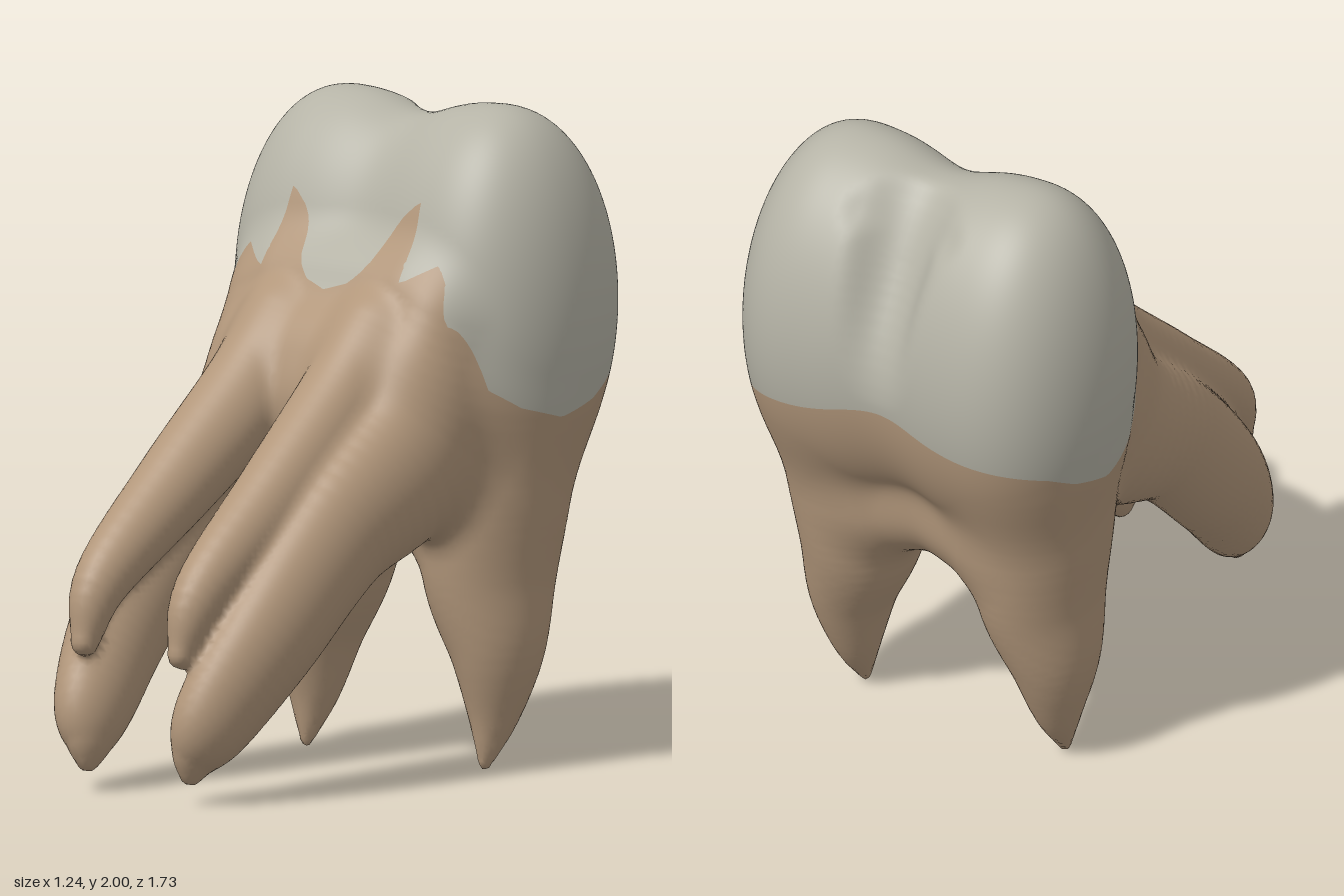
import * as THREE from 'three';

const { clamp, lerp, smoothstep } = THREE.MathUtils;

// Smooth union of two distances
const blend = (a, b, k) => {
  const h = Math.max(k - Math.abs(a - b), 0) / k;
  return Math.min(a, b) - h * h * k * 0.25;
};

// Distance function of a curved, tapered rod; each stop is [x, y, z, radius].
// flat > 1 makes its cross-section narrower in x.
function rod(stops, flat = 1) {
  const path = new THREE.CatmullRomCurve3(stops.map(s => new THREE.Vector3(s[0] * flat, s[1], s[2])), false, 'catmullrom');
  const girth = new THREE.CatmullRomCurve3(stops.map(s => new THREE.Vector3(s[3], 0, 0)), false, 'catmullrom');
  const count = stops.length > 2 ? (stops.length - 1) * 8 : 1;
  const points = path.getPoints(count), radii = girth.getPoints(count).map(p => p.x);
  return (px, y, z) => {
    const x = px * flat;
    let best = Infinity;
    for (let i = 0; i < count; i++) {
      const a = points[i], b = points[i + 1];
      const dx = b.x - a.x, dy = b.y - a.y, dz = b.z - a.z;
      const ax = x - a.x, ay = y - a.y, az = z - a.z;
      const t = clamp((ax * dx + ay * dy + az * dz) / (dx * dx + dy * dy + dz * dz), 0, 1);
      const ex = ax - t * dx, ey = ay - t * dy, ez = az - t * dz;
      best = Math.min(best, Math.sqrt(ex * ex + ey * ey + ez * ez) - radii[i] - (radii[i + 1] - radii[i]) * t);
    }
    return best;
  };
}

// Parts of one half; the other half is mirrored
const trunk = rod([[0, 1.16, -0.19, 0.32], [0.15, 1.16, -0.19, 0.32]]);
const shoulder = rod([[0, 1.4, -0.25, 0.22], [0.25, 1.4, -0.25, 0.22]]);
const frontWeb = rod([[0, 1.12, -0.02, 0.15], [0, 0.99, -0.01, 0.14]]);
const rearWeb = rod([[0, 0.85, -0.43, 0.2], [0.2, 0.81, -0.43, 0.23]]);
const rearRoot = rod([[0.34, 1.1, -0.45, 0.28], [0.33, 0.85, -0.43, 0.26], [0.325, 0.6, -0.415, 0.225],
  [0.365, 0.38, -0.405, 0.162], [0.367, 0.18, -0.388, 0.09], [0.365, 0.022, -0.35, 0.022]], 1.25);
const outerRoot = rod([[0.36, 1.35, -0.2, 0.16], [0.31, 1.01, -0.08, 0.25], [0.315, 0.78, 0.25, 0.2],
  [0.295, 0.5, 0.53, 0.18], [0.25, 0.28, 0.71, 0.147], [0.222, 0.18, 0.765, 0.093], [0.213, 0.105, 0.785, 0.045]], 1.4);
const innerRoot = rod([[0.19, 1.3, -0.08, 0.17], [0.195, 1.135, 0.095, 0.155], [0.205, 0.885, 0.415, 0.13],
  [0.205, 0.64, 0.73, 0.092], [0.2, 0.46, 0.815, 0.045]], 1.15);
const groove = rod([[0, 1.95, -0.7, 0.135], [0, 1.75, -0.78, 0.115], [0, 1.4, -0.92, 0.08]]);
const crossGroove = rod([[0, 1.88, -0.7, 0.06], [0.14, 1.9, -0.72, 0.03]]);

// Signed distance to the whole tooth
function tooth(px, y, z) {
  const x = Math.sqrt(px * px + 0.0012);
  // Crown: a rounded bar across x, pinched in the middle into two lobes
  const ex = Math.max(x - 0.28, 0) / 0.34, ey = (y - 1.4) / 0.6;
  const ez = (z + 0.47) / (z > -0.47 ? 0.35 : 0.39);
  let d = 0.38 * (Math.sqrt(ex ** 2.6 + ey * ey + ez * ez) - 1);
  d += 0.035 * Math.exp(-((px / 0.15) ** 2));
  // Chewing groove
  const cut = blend(groove(x, y, z), crossGroove(x, y, z), 0.05);
  d = -blend(-d, cut, 0.07);
  // Trunk and roots
  let r = blend(trunk(x, y, z), shoulder(x, y, z), 0.05);
  r = blend(r, frontWeb(x, y, z), 0.06);
  r = blend(r, outerRoot(x, y, z), 0.07);
  r = blend(r, innerRoot(x, y, z), 0.04);
  r = blend(r, blend(rearWeb(x, y, z), rearRoot(x, y, z), 0.08), 0.12);
  return blend(d, r, 0.07);
}

// Piecewise linear lookup
function lookup(table, v) {
  if (v <= table[0][0]) return table[0][1];
  for (let i = 1; i < table.length; i++) {
    const [a, fa] = table[i - 1], [b, fb] = table[i];
    if (v <= b) return lerp(fa, fb, (v - a) / (b - a));
  }
  return table[table.length - 1][1];
}

// Height of the enamel edge: by x at the front, by z round the sides and back
const frontEdge = [[0, 1.455], [0.085, 1.48], [0.135, 1.53], [0.165, 1.62], [0.19, 1.67], [0.245, 1.72], [0.268, 1.73],
  [0.276, 1.5], [0.29, 1.5], [0.385, 1.555], [0.42, 1.5], [0.445, 1.36], [0.5, 1.2]];
const sideEdge = [[-0.86, 1.22], [-0.7, 1.17], [-0.6, 1.12], [-0.45, 1.08], [-0.3, 1.12], [-0.2, 1.18],
  [-0.13, 1.39], [-0.09, 1.56]];
function aboveEnamelEdge([x, y, z]) {
  const back = smoothstep(-z, 0.5, 0.7) * 0.07 * Math.exp(-((x / 0.2) ** 2));
  const front = smoothstep(z, -0.27, -0.21) * (1 - smoothstep(Math.abs(x), 0.43, 0.51));
  return y - lerp(lookup(sideEdge, z) + back, lookup(frontEdge, Math.abs(x)), front);
}

// Mesh the distance field: one vertex per crossed cell, one quad per crossed edge
function surfaceTriangles(h) {
  const lo = [-0.67, -0.05, -0.93], n = [1.34, 2.12, 1.86].map(s => Math.ceil(s / h) + 1);
  const step = [1, n[0], n[0] * n[1]];
  const field = new Float32Array(n[0] * n[1] * n[2]);
  for (let k = 0, i = 0; k < n[2]; k++)
    for (let j = 0; j < n[1]; j++)
      for (let l = 0; l < n[0]; l++, i++) field[i] = tooth(lo[0] + l * h, lo[1] + j * h, lo[2] + k * h);

  const cells = new Map();
  const cellVertex = (c) => {
    if (cells.has(c)) return cells.get(c);
    const base = [c % n[0], Math.floor(c / n[0]) % n[1], Math.floor(c / step[2])];
    const p = [0, 0, 0];
    let count = 0;
    for (let corner = 0; corner < 8; corner++)
      for (let a = 0; a < 3; a++) {
        if (corner >> a & 1) continue;
        const bits = [0, 1, 2].map(b => corner >> b & 1);
        const i = c + bits[0] + bits[1] * step[1] + bits[2] * step[2];
        const f = field[i], g = field[i + step[a]];
        if ((f < 0) === (g < 0)) continue;
        for (let b = 0; b < 3; b++) p[b] += base[b] + bits[b] + (a === b ? f / (f - g) : 0);
        count++;
      }
    for (let b = 0; b < 3; b++) p[b] = lo[b] + h * p[b] / count;
    // Settle on the surface and take the normal from the slope
    const e = 0.014, [x, y, z] = p;
    const g = [tooth(x + e, y, z) - tooth(x - e, y, z), tooth(x, y + e, z) - tooth(x, y - e, z),
      tooth(x, y, z + e) - tooth(x, y, z - e)];
    const len = Math.hypot(...g) || 1;
    const move = clamp(tooth(x, y, z) * 2 * e / len, -h / 2, h / 2);
    const normal = g.map(v => v / len);
    const v = [...p.map((q, b) => q - normal[b] * move), ...normal];
    cells.set(c, v);
    return v;
  };

  const triangles = [];
  for (let k = 1; k < n[2] - 1; k++)
    for (let j = 1; j < n[1] - 1; j++)
      for (let l = 1; l < n[0] - 1; l++) {
        const i = l + j * step[1] + k * step[2];
        for (let a = 0; a < 3; a++) {
          const inside = field[i] < 0;
          if (inside === field[i + step[a]] < 0) continue;
          const u = step[(a + 1) % 3], v = step[(a + 2) % 3];
          const q = [i - u - v, i - v, i, i - u].map(cellVertex);
          if (!inside) q.reverse();
          triangles.push([q[0], q[1], q[2]], [q[0], q[2], q[3]]);
        }
      }
  return triangles;
}

// Keep the side of each triangle where sign * rule >= 0
function clip(triangles, rule, sign) {
  const out = [];
  for (const t of triangles) {
    const f = t.map(v => sign * rule(v)), poly = [];
    for (let i = 0; i < 3; i++) {
      const j = (i + 1) % 3;
      if (f[i] >= 0) poly.push(t[i]);
      if ((f[i] >= 0) !== (f[j] >= 0)) poly.push(t[i].map((c, m) => lerp(c, t[j][m], f[i] / (f[i] - f[j]))));
    }
    for (let i = 2; i < poly.length; i++) out.push([poly[0], poly[i - 1], poly[i]]);
  }
  return out;
}

function partMesh(name, triangles, material) {
  const vertices = triangles.flat();
  const geometry = new THREE.BufferGeometry();
  geometry.setAttribute('position', new THREE.Float32BufferAttribute(vertices.flatMap(v => v.slice(0, 3)), 3));
  geometry.setAttribute('normal', new THREE.Float32BufferAttribute(vertices.flatMap(v => v.slice(3)), 3));
  const mesh = new THREE.Mesh(geometry, material);
  mesh.name = name;
  return mesh;
}

export function createModel() {
  const enamel = new THREE.MeshStandardMaterial({ color: 0xb5b3a6 });
  enamel.name = 'enamel';
  const dentine = new THREE.MeshStandardMaterial({ color: 0xb2977b });
  dentine.name = 'dentine';

  const all = surfaceTriangles(0.02);
  const roots = clip(all, aboveEnamelEdge, -1);
  const frontOfArch = v => v[2] + 0.1;

  const group = new THREE.Group();
  group.name = 'tooth';
  group.add(
    partMesh('crown', clip(all, aboveEnamelEdge, 1), enamel),
    partMesh('frontRoots', clip(roots, frontOfArch, 1), dentine),
    partMesh('rearRoots', clip(roots, frontOfArch, -1), dentine),
  );
  return group;
}
